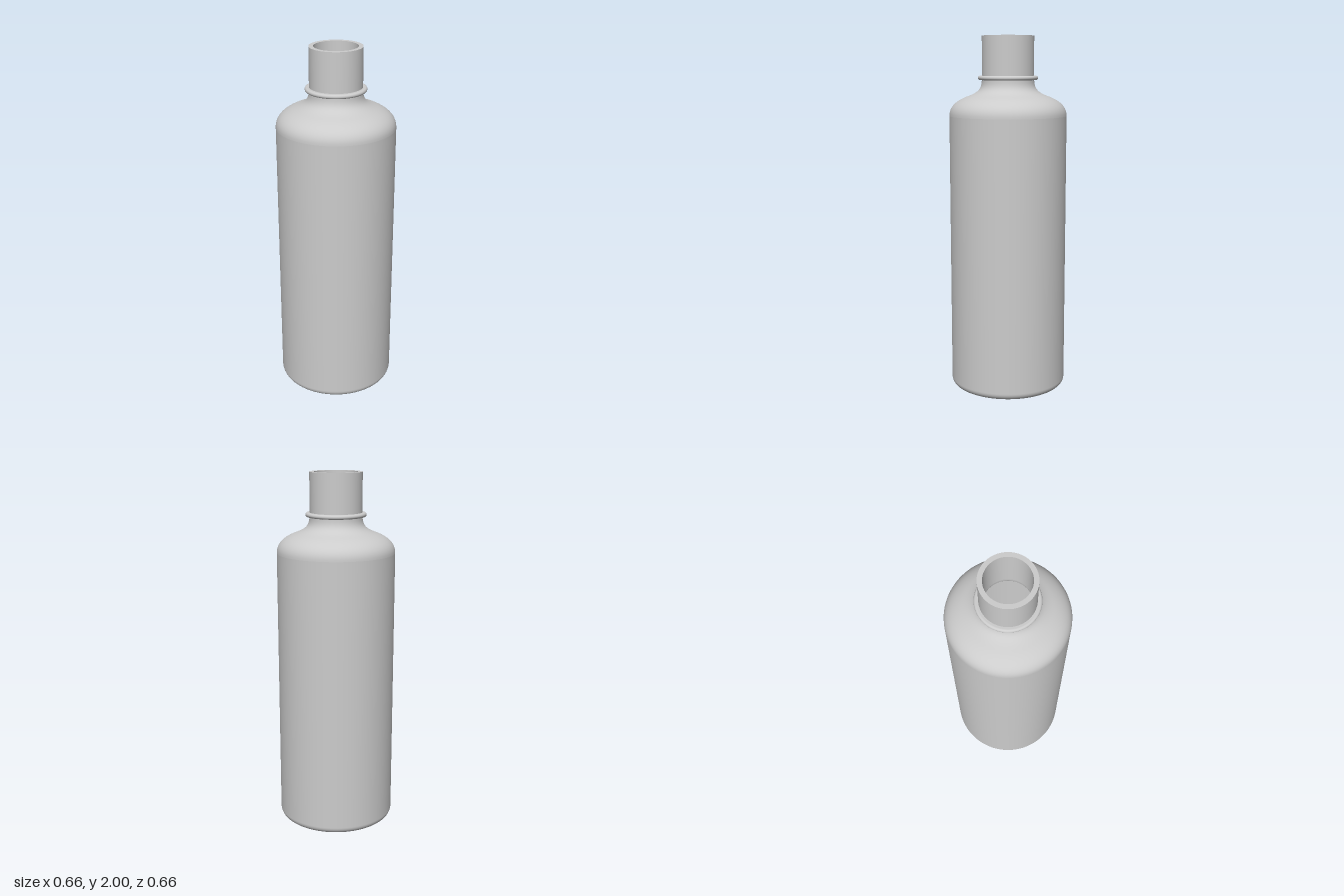
import * as THREE from 'three';

const material = new THREE.MeshStandardMaterial({ color: 0xcccccc });
const SEGMENTS = 96;

// Revolve a profile about y; outer walls run upwards, inner walls downwards
function revolve(name, points) {
  const profile = points.map((p) => (p.isVector2 ? p : new THREE.Vector2(p[0], p[1])));
  const mesh = new THREE.Mesh(new THREE.LatheGeometry(profile, SEGMENTS), material);
  mesh.name = name;
  return mesh;
}

// Shoulder curve from the body wall to the waist under the collar, inset by the wall thickness t
function shoulderPoints(t) {
  const path = new THREE.Path();
  path.moveTo(0.328 - t, 1.56);
  path.bezierCurveTo(0.328 - t, 1.615, 0.285 - t, 1.645, 0.235 - t, 1.665);
  path.bezierCurveTo(0.18 - t, 1.685, 0.148 - t, 1.7, 0.146 - t, 1.755);
  return path.getPoints(14);
}

// Rounded lower corner from the base to the wall
function cornerPoints(radius, y, r) {
  const path = new THREE.Path();
  path.absarc(radius - r, y + r, r, -Math.PI / 2, 0, false);
  return path.getPoints(10);
}

export function createModel() {
  const bottle = new THREE.Group();
  bottle.name = 'bottle';
  const wall = 0.025;

  // Outer skin
  bottle.add(
    revolve('base', [[0, 0], [0.288, 0]]),
    revolve('baseCorner', cornerPoints(0.328, 0, 0.04)),
    revolve('bodyWall', [[0.328, 0.04], [0.328, 1.56]]),
    revolve('shoulder', shoulderPoints(0)),
    revolve('neck', [[0.145, 1.755], [0.145, 2]]),
    revolve('rim', [[0.145, 2], [0.12, 2]])
  );

  // Collar ring: flat faces with a rounded edge
  const edge = new THREE.Path();
  edge.absarc(0.156, 1.77, 0.012, -Math.PI / 2, Math.PI / 2, false);
  bottle.add(
    revolve('collarUnderside', [[0.14, 1.758], [0.156, 1.758]]),
    revolve('collarEdge', edge.getPoints(12)),
    revolve('collarTop', [[0.156, 1.782], [0.14, 1.782]])
  );

  // Hollow interior
  bottle.add(
    revolve('neckInside', [[0.12, 2], [0.12, 1.755]]),
    revolve('shoulderInside', shoulderPoints(wall).reverse()),
    revolve('bodyInside', [[0.328 - wall, 1.56], [0.328 - wall, 0.055]]),
    revolve('cornerInside', cornerPoints(0.328 - wall, wall, 0.03).reverse()),
    revolve('floorInside', [[0.273, wall], [0, wall]])
  );

  return bottle;
}
